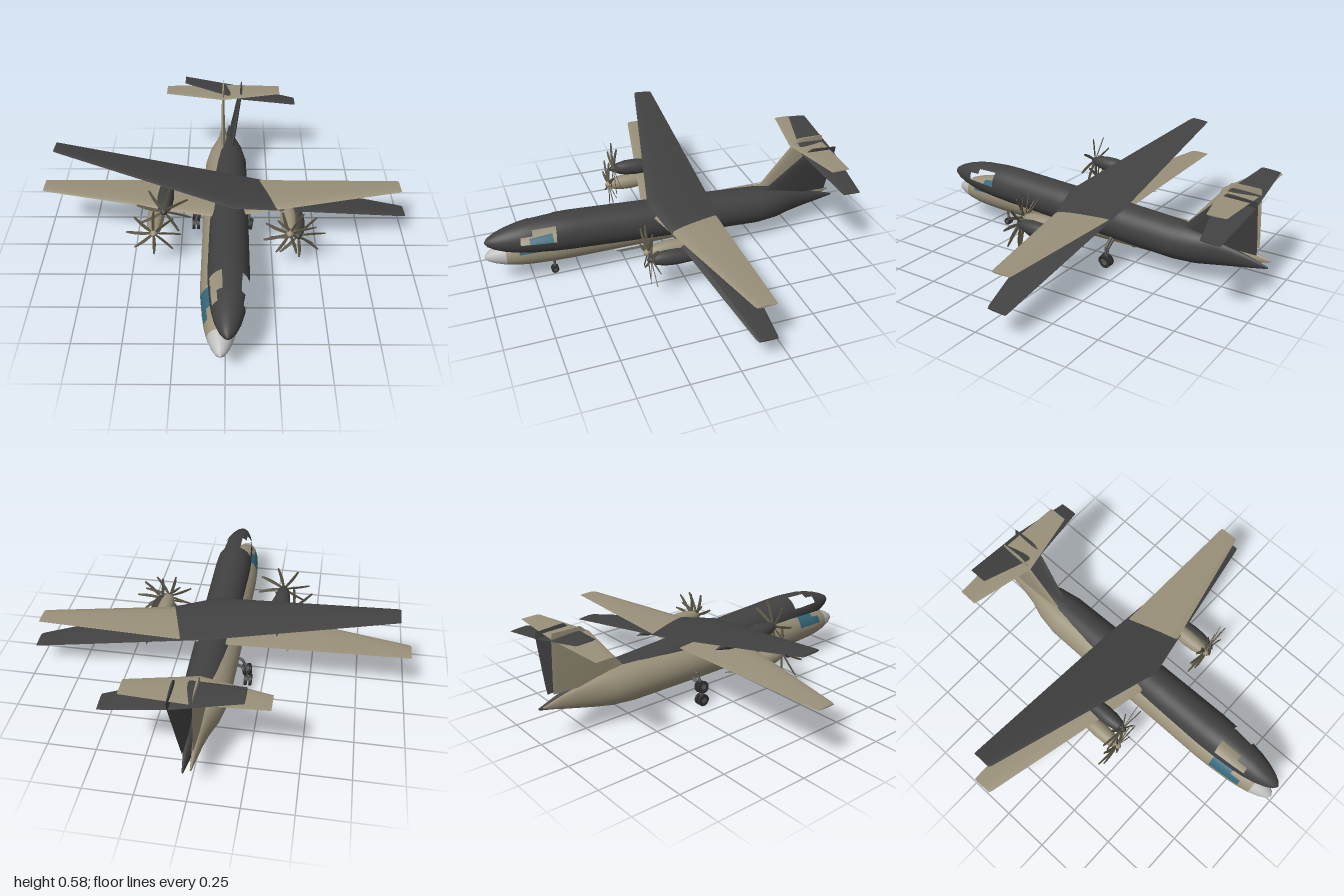
import * as THREE from 'three';
import { toCreasedNormals } from 'three/addons/utils/BufferGeometryUtils.js';

const mat = (name, color) => Object.assign(new THREE.MeshStandardMaterial({ color }), { name });

const TAN = mat('tan paint', 0x999079);
const DARK = mat('charcoal paint', 0x414141);
const GREY = mat('light grey', 0xbcbcbc);
const GLASS = mat('teal glass', 0x35687b);
const PROP = mat('olive propeller', 0x5e5848);
const TYRE = mat('tyre', 0x2f2f2f);
const STRUT = mat('strut grey', 0x5a5a58);

function add(parent, name, geometry, material, x = 0, y = 0, z = 0) {
  const m = new THREE.Mesh(geometry, material);
  m.name = name;
  m.position.set(x, y, z);
  parent.add(m);
  return m;
}

// Skin over rings of points that run counter-clockwise about the loft direction.
function loft(rings, keep = () => true) {
  const n = rings[0].length, last = rings.length - 1, pos = rings.flat(2);
  const all = [], kept = [];
  for (let i = 0; i < last; i++) {
    for (let j = 0; j < n; j++) {
      const a = i * n + j, b = i * n + (j + 1) % n;
      const quad = [a, b, b + n, a, b + n, a + n];
      all.push(...quad);
      if (keep(i, j)) kept.push(...quad);
    }
  }
  for (const [i, flip] of [[0, true], [last, false]]) {
    if (!keep(Math.min(i, last - 1), -1)) continue;
    for (let j = 1; j < n - 1; j++) {
      const o = i * n;
      const tri = flip ? [o, o + j + 1, o + j] : [o, o + j, o + j + 1];
      all.push(...tri);
      kept.push(...tri);
    }
  }
  const g = new THREE.BufferGeometry();
  g.setAttribute('position', new THREE.Float32BufferAttribute(pos, 3));
  g.setIndex(all);
  g.computeVertexNormals();
  g.setIndex(kept);
  return g;
}

// Aerofoil surface along x; each section is [x, y, leading z, trailing z, thickness].
function foil(sections) {
  const rings = sections.map(([x, y, le, te, th]) => Array.from({ length: 16 }, (_, k) => {
    const t = k / 16 * Math.PI * 2, s = Math.sin(t);
    return [x, y + th / 2 * Math.cos(t) * (0.8 + 0.5 * s), (le + te) / 2 + (le - te) / 2 * s];
  }));
  return toCreasedNormals(loft(rings), 0.7);
}

// Tail to nose: [z, centre y, half width, half height]
const BODY = [
  [-0.985, 0.197, 0.004, 0.005], [-0.9, 0.197, 0.014, 0.03], [-0.8, 0.195, 0.027, 0.055],
  [-0.71, 0.195, 0.046, 0.078], [-0.62, 0.195, 0.078, 0.095], [-0.5, 0.195, 0.1, 0.103],
  [-0.2, 0.195, 0.103, 0.104], [0.2, 0.195, 0.103, 0.104], [0.55, 0.195, 0.103, 0.103],
  [0.64, 0.194, 0.099, 0.1], [0.76, 0.19, 0.088, 0.09], [0.82, 0.187, 0.079, 0.08],
  [0.885, 0.183, 0.064, 0.063], [0.94, 0.18, 0.044, 0.042], [0.975, 0.178, 0.024, 0.022],
  [0.99, 0.177, 0.004, 0.004],
];
const SEG = 36;
const bodyRings = BODY.map(([z, y, w, h]) => Array.from({ length: SEG }, (_, j) => {
  const a = j / SEG * Math.PI * 2;
  return [w * Math.cos(a), y + h * Math.sin(a), z];
}));
// Side windscreens take the quads from 10 to 60 degrees, lower toward the nose.
const isWindow = (i, j) => {
  const k = Math.min(j, SEG / 2 - 1 - j);
  return j > 0 && j < SEG / 2 && k >= 1 && ((i === 9 && k < 6) || (i === 10 && k < 4));
};
const isNose = (i) => i >= 12;

function lathe(points, seg = 20) {
  return new THREE.LatheGeometry(points.map(([r, z]) => new THREE.Vector2(r, z)), seg).rotateX(Math.PI / 2);
}

function rod(parent, name, a, b, r) {
  const p = new THREE.Vector3(...a), d = new THREE.Vector3(...b).sub(p);
  const m = add(parent, name, new THREE.CylinderGeometry(r, r, d.length(), 10), STRUT);
  m.position.copy(p).addScaledVector(d, 0.5);
  m.quaternion.setFromUnitVectors(new THREE.Vector3(0, 1, 0), d.normalize());
}

function makeEngine(paint, side) {
  const g = new THREE.Group();
  g.name = 'engine';
  add(g, 'nacelle', lathe([[0, -0.17], [0.022, -0.09], [0.037, 0.01], [0.043, 0.1],
    [0.04, 0.16], [0.03, 0.205], [0.022, 0.218], [0, 0.218]]), paint);
  add(g, 'spinner', lathe([[0.021, 0.216], [0.019, 0.23], [0.011, 0.243], [0, 0.25]], 16), paint);
  // Swept blades
  const s = new THREE.Shape();
  s.moveTo(-0.005, 0.01);
  s.quadraticCurveTo(-0.014, 0.08, 0.004, 0.142);
  s.lineTo(0.012, 0.14);
  s.quadraticCurveTo(0.009, 0.08, 0.005, 0.01);
  const blade = new THREE.ExtrudeGeometry(s, { depth: 0.004, bevelEnabled: false, curveSegments: 6 });
  blade.translate(0, 0, -0.002).rotateY(0.35);
  for (let k = 0; k < 8; k++) {
    add(g, 'propellerBlade', blade, PROP, 0, 0, 0.227).rotation.z = k * Math.PI / 4 + (side > 0 ? 0.35 : 0);
  }
  return g;
}

function makeGear(parent, name, x, z, r, gap, w) {
  const g = new THREE.Group();
  g.name = name;
  const wheel = new THREE.CylinderGeometry(r, r, w, 20).rotateZ(Math.PI / 2);
  const hub = new THREE.CylinderGeometry(r * 0.45, r * 0.45, w + 0.004, 14).rotateZ(Math.PI / 2);
  for (const s of [-1, 1]) {
    add(g, 'wheel', wheel, TYRE, x + s * gap, r, z);
    add(g, 'wheelHub', hub, STRUT, x + s * gap, r, z);
  }
  rod(g, 'axle', [x - gap, r, z], [x + gap, r, z], 0.005);
  rod(g, 'strut', [x, r, z], [x * 0.93, 0.1, z], 0.007);
  if (x) rod(g, 'brace', [x * 0.93, 0.1, z], [x * 0.5, 0.14, z], 0.008);
  parent.add(g);
}

function makeAircraft(name, paint, nosePaint, glass) {
  const g = new THREE.Group();
  g.name = name;
  add(g, 'fuselage', loft(bodyRings, (i, j) => !isWindow(i, j) && !isNose(i)), paint);
  add(g, 'noseCone', loft(bodyRings, (i) => isNose(i)), nosePaint);
  if (glass) add(g, 'windscreen', loft(bodyRings, isWindow), glass);

  add(g, 'wing', foil([
    [-0.977, 0.311, -0.08, -0.18, 0.008], [-0.96, 0.311, -0.072, -0.182, 0.011],
    [0, 0.3, 0.142, -0.205, 0.034],
    [0.96, 0.311, -0.072, -0.182, 0.011], [0.977, 0.311, -0.08, -0.18, 0.008],
  ]), paint);
  add(g, 'tailplane', foil([
    [-0.338, 0.52, -0.79, -0.89, 0.006], [0, 0.52, -0.715, -0.908, 0.014],
    [0.338, 0.52, -0.79, -0.89, 0.006],
  ]), paint);
  // Fin is the same kind of surface stood upright
  add(g, 'fin', foil([
    [0.25, 0, -0.49, -0.925, 0.026], [0.3, 0, -0.54, -0.925, 0.026],
    [0.53, 0, -0.735, -0.915, 0.016], [0.555, 0, -0.76, -0.91, 0.01],
  ]).rotateZ(Math.PI / 2), paint);

  for (const s of [-1, 1]) {
    const e = makeEngine(paint, s);
    e.position.set(s * 0.352, 0.264, 0);
    g.add(e);
    makeGear(g, 'mainGear', s * 0.15, -0.15, 0.032, 0.013, 0.014);
  }
  makeGear(g, 'noseGear', 0, 0.635, 0.02, 0.01, 0.01);

  // Sensor fairing under the belly
  const fairing = new THREE.CylinderGeometry(0.09, 0.055, 0.034, 4, 1).rotateY(Math.PI / 4);
  const m = add(g, 'bellyFairing', toCreasedNormals(fairing, 0.3), nosePaint, 0, 0.084, 0.225);
  m.scale.set(0.95, 1, 1.4);
  return g;
}

export function createModel() {
  const model = new THREE.Group();
  model.name = 'aircraftPair';

  // Level aircraft
  const level = makeAircraft('levelAircraft', TAN, GREY, GLASS);
  level.position.x = -0.022;
  model.add(level);

  // Banked aircraft with open windscreens, pitched nose up about its own axis
  const banked = makeAircraft('bankedAircraft', DARK, DARK, null);
  banked.rotation.set(-0.065, 0, -0.208);
  const pivot = new THREE.Vector3(0, 0.195, 0).applyEuler(banked.rotation);
  banked.position.set(0.015, 0.24, -0.005).sub(pivot);
  model.add(banked);
  return model;
}
